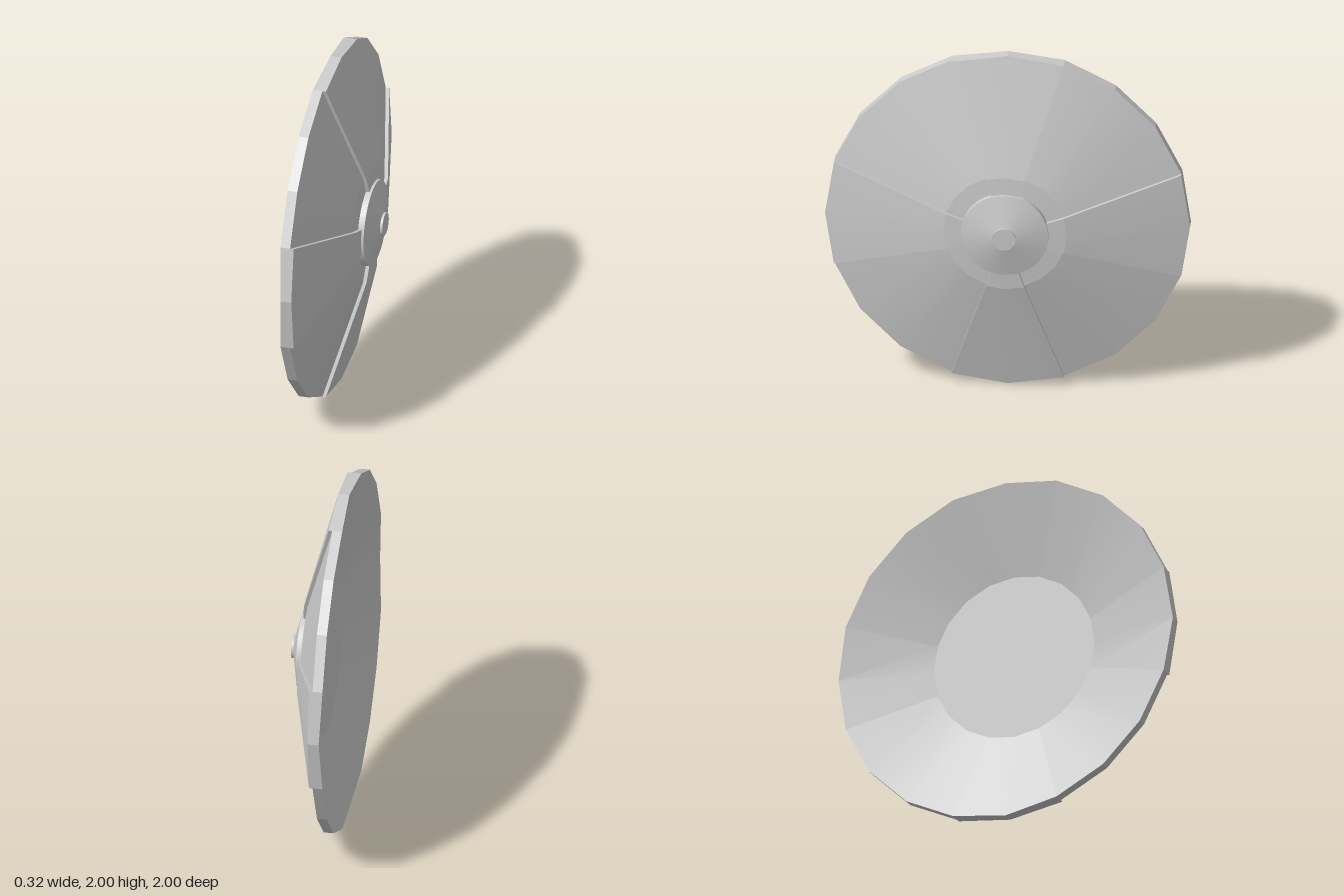
import * as THREE from 'three';
import { toCreasedNormals } from 'three/addons/utils/BufferGeometryUtils.js';

const STEP = Math.PI / 10; // the dish has 20 sides
const CREASE = 0.12;

// Front profiles as [radius, x], from the hub outwards
const LOW = [[0.2, 0.074], [0.24, 0.07], [0.34, 0.062], [1, -0.11]];
const RAISED = [[0.2, 0.094], [0.24, 0.09], [0.34, 0.082], [1, -0.09]];

const point = ([r, x], a) => [x, r * Math.cos(a), r * Math.sin(a)];

function quad(out, a, b, c, d) {
  out.push(...a, ...b, ...c, ...a, ...c, ...d);
}

function makeMesh(name, positions, material) {
  const geometry = new THREE.BufferGeometry();
  geometry.setAttribute('position', new THREE.Float32BufferAttribute(positions, 3));
  const mesh = new THREE.Mesh(toCreasedNormals(geometry, CREASE), material);
  mesh.name = name;
  return mesh;
}

// One dish panel: front, rim and hollow back, swept over some sides
function panelPositions(start, sides, front, backX) {
  const out = [];
  const section = (i) => [...front, [1, backX(i)], [0.48, -0.04]]
    .map((p) => point(p, start + i * STEP));
  for (let i = 0; i < sides; i++) {
    const a = section(i), b = section(i + 1);
    for (let j = 0; j < a.length - 1; j++) quad(out, a[j], a[j + 1], b[j + 1], b[j]);
    out.push(...a[a.length - 1], -0.04, 0, 0, ...b[b.length - 1]);
  }
  return out;
}

// Thin side walls where a raised panel stands above its neighbours
function stepPositions(start, end) {
  const out = [];
  for (let j = 0; j < LOW.length - 1; j++) {
    const at = (a) => [LOW[j], LOW[j + 1], RAISED[j + 1], RAISED[j]].map((p) => point(p, a));
    quad(out, ...at(start));
    quad(out, ...at(end).reverse());
  }
  return out;
}

export function createModel() {
  const model = new THREE.Group();
  model.name = 'dish';
  const material = new THREE.MeshStandardMaterial({ color: 0xcccccc });
  const dish = new THREE.Group();
  dish.name = 'dishBody';
  dish.position.y = 1;
  model.add(dish);

  // Four raised panels alternate with four wider low panels
  const raised = [], low = [], steps = [];
  for (let k = 0; k < 4; k++) {
    const start = k * 5 * STEP - STEP;
    const end = start + 2 * STEP;
    raised.push(...panelPositions(start, 2, RAISED, (i) => (i === 1 ? -0.152 : -0.165)));
    low.push(...panelPositions(end, 3, LOW, () => -0.165));
    steps.push(...stepPositions(start, end));
  }
  dish.add(makeMesh('raisedPanels', raised, material));
  dish.add(makeMesh('lowPanels', low, material));
  dish.add(makeMesh('panelSteps', steps, material));

  // Hub: short drum, shallow cone and small central cap
  const profile = [[0.24, 0.068], [0.24, 0.104], [0.065, 0.147], [0.065, 0.16], [0, 0.16]]
    .map(([r, x]) => new THREE.Vector2(r, x));
  const hub = new THREE.LatheGeometry(profile, 40);
  hub.rotateZ(-Math.PI / 2);
  const hubMesh = new THREE.Mesh(toCreasedNormals(hub, 0.2), material);
  hubMesh.name = 'hub';
  dish.add(hubMesh);

  return model;
}
